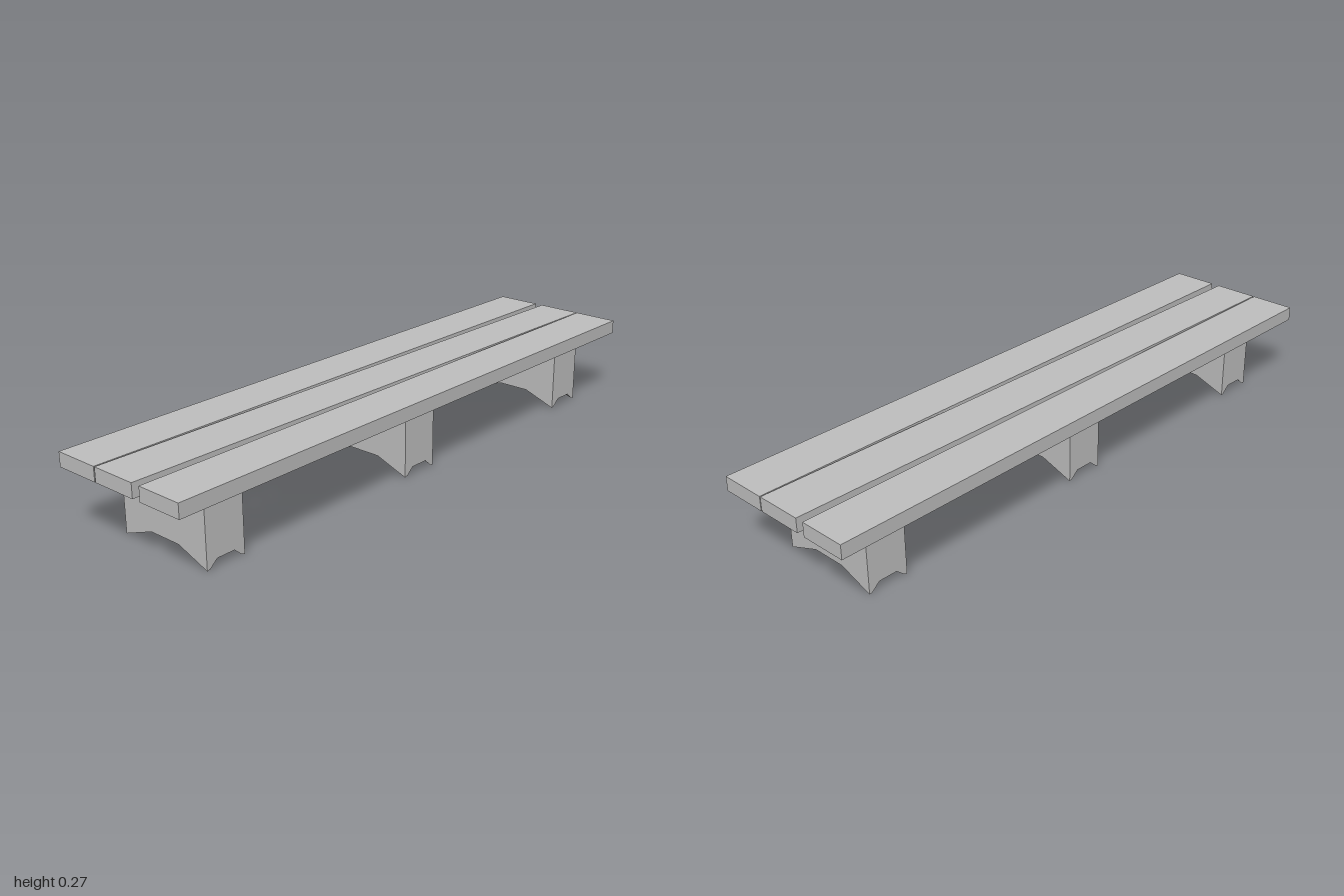
import * as THREE from 'three';

const TOP = 0.267, UNDER = 0.222;

// Seat board, slightly skewed: z centre differs between its two ends
function makePlank(name, zLeftEnd, zRightEnd, material) {
  const geo = new THREE.BoxGeometry(2, TOP - UNDER, 0.15);
  const pos = geo.attributes.position;
  for (let i = 0; i < pos.count; i++) {
    const t = (pos.getX(i) + 1) / 2;
    pos.setZ(i, pos.getZ(i) + THREE.MathUtils.lerp(zLeftEnd, zRightEnd, t));
  }
  geo.computeVertexNormals();
  const mesh = new THREE.Mesh(geo, material);
  mesh.name = name;
  mesh.position.y = (TOP + UNDER) / 2;
  return mesh;
}

// Support block: grooved above and below, with an arched underside
function makeLegGeometry() {
  const w = 0.066;
  const profile = new THREE.Shape([
    [-w, 0], [-0.055, 0.003], [-0.03, 0.025], [0.03, 0.025], [0.055, 0.003], [w, 0],
    [w, UNDER], [0.055, 0.219], [0.025, 0.2], [-0.025, 0.2], [-0.055, 0.219], [-w, UNDER],
  ].map(([x, y]) => new THREE.Vector2(x, y)));
  const depth = 0.333;
  const geo = new THREE.ExtrudeGeometry(profile, { depth, steps: 3, bevelEnabled: false });
  const pos = geo.attributes.position;
  for (let i = 0; i < pos.count; i++) {
    const z = pos.getZ(i);
    const inner = z > 0.01 && z < depth - 0.01;
    if (inner && pos.getY(i) < 0.1) pos.setY(i, pos.getY(i) + 0.041);
    pos.setZ(i, z - 0.16);
  }
  geo.computeVertexNormals();
  return geo;
}

export function createModel() {
  const model = new THREE.Group();
  model.name = 'bench';
  const grey = new THREE.MeshStandardMaterial({ color: 0xc0c0c0 });
  grey.name = 'plain grey';

  // Three seat boards
  model.add(
    makePlank('backPlank', -0.162, -0.172, grey),
    makePlank('middlePlank', -0.008, 0.005, grey),
    makePlank('frontPlank', 0.171, 0.158, grey),
  );

  // Three supports
  const legGeo = makeLegGeometry();
  [['rightLeg', -0.795], ['middleLeg', -0.002], ['leftLeg', 0.792]].forEach(([name, x]) => {
    const leg = new THREE.Mesh(legGeo, grey);
    leg.name = name;
    leg.position.x = x;
    model.add(leg);
  });
  return model;
}
